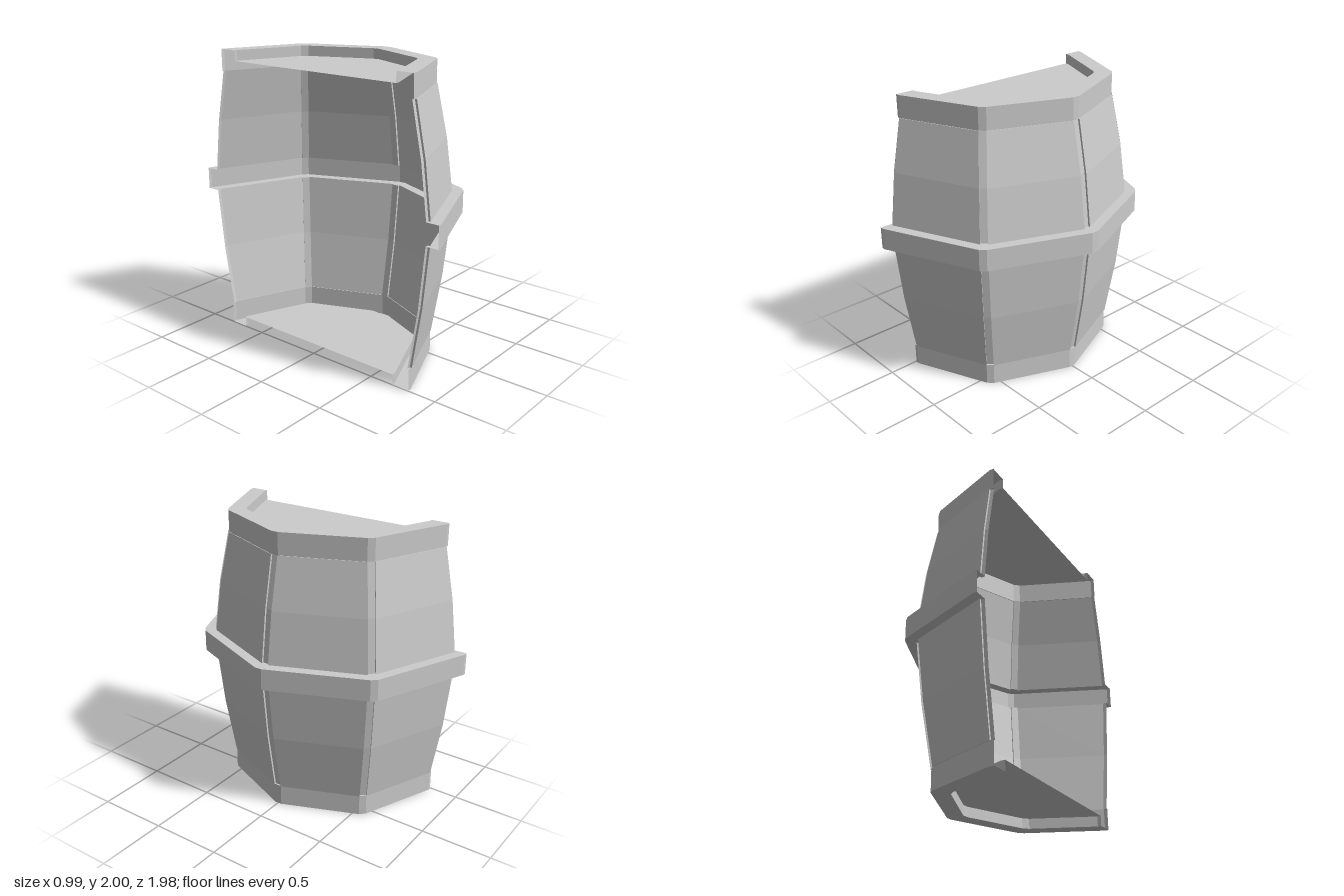
import * as THREE from 'three';

const CX = -0.495;      // axis of the octagon, on the open cut plane
const HALF = 0.025;     // half width of the chamfered corners
const GROOVE = 0.015;   // depth of the corner grooves

const material = new THREE.MeshStandardMaterial({
  color: 0xcccccc, flatShading: true, side: THREE.DoubleSide,
});

// Half-octagon outline with chamfered corners, optionally grooved: [x, z] points
function outline(radius, groove) {
  const points = [];
  for (let k = -2; k <= 2; k++) {
    const a = k * Math.PI / 4, c = Math.cos(a), s = Math.sin(a);
    const add = (r, t) => points.push([CX + r * c - t * s, r * s + t * c]);
    if (k > -2) { add(radius, -HALF); add(radius - groove, -HALF); }
    else add(radius - groove, 0);
    if (k < 2) { add(radius - groove, HALF); add(radius, HALF); }
    else add(radius - groove, 0);
  }
  return points;
}

// Sheet lofted through rows of [radius, y, groove depth]
function loft(name, rows) {
  const position = [], index = [];
  let n = 0;
  rows.forEach(([radius, y, groove = 0], j) => {
    const points = outline(radius, groove);
    n = points.length;
    points.forEach(([x, z]) => position.push(x, y, z));
    if (j === 0) return;
    for (let i = 0; i < n - 1; i++) {
      const a = (j - 1) * n + i, b = a + n;
      index.push(a, b, a + 1, a + 1, b, b + 1);
    }
  });
  const geometry = new THREE.BufferGeometry();
  geometry.setAttribute('position', new THREE.Float32BufferAttribute(position, 3));
  geometry.setIndex(index);
  geometry.computeVertexNormals();
  const mesh = new THREE.Mesh(geometry, material);
  mesh.name = name;
  return mesh;
}

// Flat half-octagon closing an end
function endPlate(name, radius, y) {
  const shape = new THREE.Shape(outline(radius, 0).map(([x, z]) => new THREE.Vector2(x, -z)));
  const mesh = new THREE.Mesh(new THREE.ShapeGeometry(shape), material);
  mesh.name = name;
  mesh.rotation.x = -Math.PI / 2;
  mesh.position.y = y;
  return mesh;
}

export function createModel() {
  const group = new THREE.Group();
  group.name = 'halfBarrel';
  group.add(
    // Rims: outer wall, flat lip and inner wall down to the recessed plate
    loft('bottomRim', [[0.67, 0.07], [0.67, 0], [0.795, 0], [0.795, 0.15]]),
    loft('topRim', [[0.795, 1.85], [0.795, 2], [0.67, 2], [0.67, 1.93]]),
    endPlate('bottomPlate', 0.67, 0.07),
    endPlate('topPlate', 0.67, 1.93),
    // Bulging side panels with grooved corners
    loft('lowerPanels', [[0.795, 0.15], [0.8, 0.15, GROOVE], [0.87, 0.57, GROOVE], [0.915, 0.99, GROOVE]]),
    loft('upperPanels', [[0.915, 1.14, GROOVE], [0.87, 1.5, GROOVE], [0.8, 1.85, GROOVE], [0.795, 1.85]]),
    // Hollow hoop around the middle
    loft('middleHoop', [[0.915, 0.99, GROOVE], [0.99, 0.99], [0.99, 1.14], [0.915, 1.14, GROOVE]]),
  );
  return group;
}
